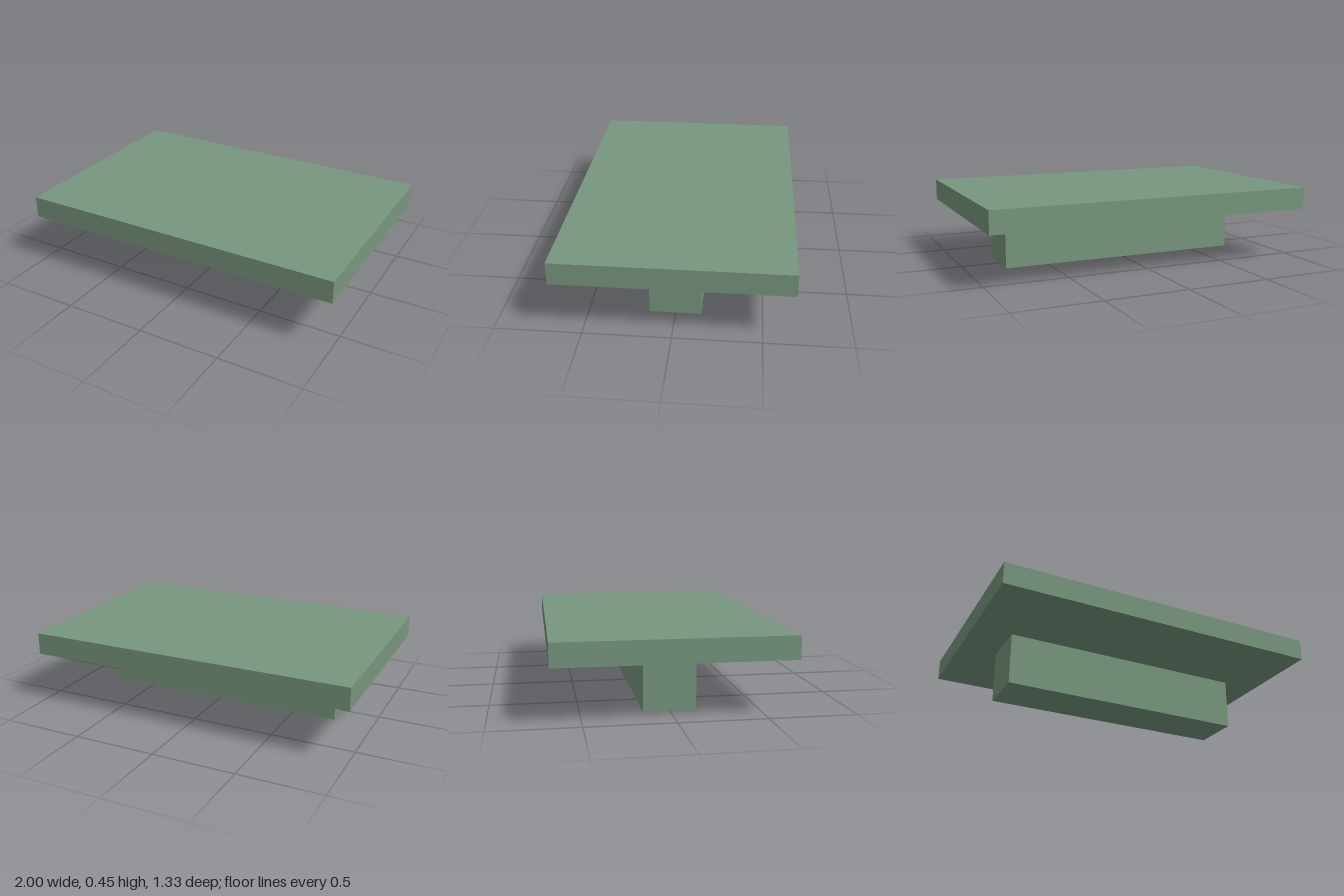
import * as THREE from 'three';

export function createModel() {
  const group = new THREE.Group();
  const green = new THREE.MeshStandardMaterial({ color: 0x77967e });

  // Box standing on height y
  const addBox = (name, width, height, depth, y) => {
    const mesh = new THREE.Mesh(new THREE.BoxGeometry(width, height, depth), green);
    mesh.name = name;
    mesh.position.y = y + height / 2;
    group.add(mesh);
  };

  // Narrow block carrying the wide slab
  addBox('base', 1.533, 0.317, 0.3, 0);
  addBox('topSlab', 2, 0.133, 1.333, 0.317);

  return group;
}
